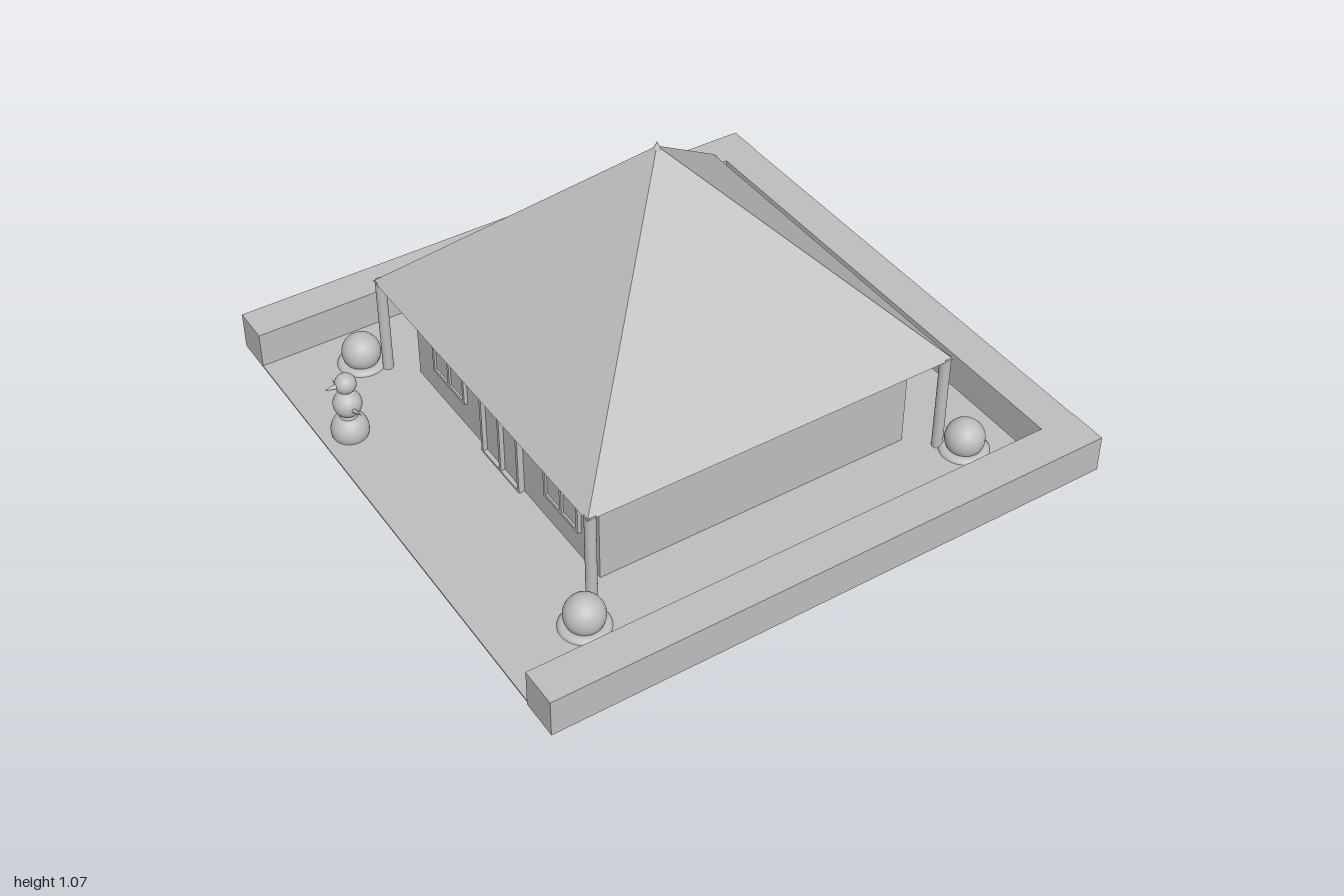
import * as THREE from 'three';

const grey = new THREE.MeshStandardMaterial({ color: 0xbebebe });
grey.name = 'plain grey';

export function createModel() {
  const model = new THREE.Group();
  model.name = 'gardenHouse';

  const add = (name, geometry, x, y, z, parent = model) => {
    const mesh = new THREE.Mesh(geometry, grey);
    mesh.name = name;
    mesh.position.set(x, y, z);
    parent.add(mesh);
    return mesh;
  };
  // Box given by its minimum and maximum along each axis
  const box = (name, x0, x1, y0, y1, z0, z1, parent = model) =>
    add(name, new THREE.BoxGeometry(x1 - x0, y1 - y0, z1 - z0),
      (x0 + x1) / 2, (y0 + y1) / 2, (z0 + z1) / 2, parent);
  const ball = (name, r, x, y, z, parent) =>
    add(name, new THREE.SphereGeometry(r, 32, 20), x, y, z, parent);

  const GROUND = 0.04;

  // Yard with a low wall on three sides
  box('ground', -0.985, 0.985, 0.034, GROUND, -0.998, 0.998);
  box('frontWall', -0.99, 0.99, 0.036, 0.167, 0.867, 1);
  box('backWall', -0.985, 0.99, 0.036, 0.167, -1, -0.867);
  box('sideWall', 0.86, 0.988, 0.036, 0.167, -0.867, 0.867);

  // House body
  box('houseBody', -0.563, 0.56, 0.035, 0.4, -0.56, 0.563);

  // Pyramid roof with a pointed finial
  const roofGeometry = new THREE.ConeGeometry(0.657 * Math.SQRT2, 0.656, 4, 1).toNonIndexed();
  roofGeometry.rotateY(Math.PI / 4);
  roofGeometry.computeVertexNormals();
  add('roof', roofGeometry, 0, 0.394 + 0.328, 0);
  add('finial', new THREE.ConeGeometry(0.02, 0.04, 24), 0, 1.045, 0);

  // Corner posts
  for (const sx of [-1, 1]) for (const sz of [-1, 1]) {
    add('post', new THREE.CylinderGeometry(0.018, 0.018, 0.372, 24), sx * 0.639, 0.212, sz * 0.641);
  }

  // Round bushes, each in a ring
  for (const [x, z] of [[-0.7, -0.71], [0.7, -0.63], [-0.7, 0.7], [0.7, 0.7]]) {
    const bush = new THREE.Group();
    bush.name = 'bush';
    bush.position.set(x, 0, z);
    model.add(bush);
    const ring = add('ring', new THREE.TorusGeometry(0.063, 0.02, 16, 40), 0, 0.035, 0, bush);
    ring.rotation.x = Math.PI / 2;
    ball('foliage', 0.065, 0, 0.086, 0, bush);
  }

  // Framed openings on the entrance side
  const framed = (name, z0, z1, y0, y1, depth) => {
    const group = new THREE.Group();
    group.name = name;
    model.add(group);
    const face = -0.563, out = face - depth, t = 0.012, mid = (z0 + z1) / 2;
    box('panel', face - 0.005, face, y0, y1, z0, z1, group);
    for (const z of [z0, mid - t / 2, z1 - t]) box('upright', out, face, y0, y1, z, z + t, group);
    for (const y of [y0, y1 - t]) box('rail', out, face, y, y + t, z0, z1, group);
    return group;
  };
  framed('window', -0.435, -0.23, 0.14, 0.27, 0.012);
  framed('window', 0.26, 0.46, 0.14, 0.27, 0.012);
  framed('door', -0.115, 0.12, 0.035, 0.298, 0.02);

  // Snowman facing out of the open side
  const snowman = new THREE.Group();
  snowman.name = 'snowman';
  snowman.position.set(-0.892, 0, -0.413);
  model.add(snowman);
  ball('base', 0.062, 0, 0.062, 0, snowman);
  ball('torso', 0.047, 0, 0.166, 0, snowman);
  ball('head', 0.035, 0, 0.246, 0, snowman);
  ball('neck', 0.03, 0, 0.117, 0, snowman).name = 'waist';
  const nose = add('nose', new THREE.ConeGeometry(0.01, 0.045, 20), -0.05, 0.248, 0, snowman);
  nose.rotation.z = Math.PI / 2;
  for (const s of [-1, 1]) {
    const arm = add('arm', new THREE.ConeGeometry(0.009, 0.08, 16), 0, 0.176, s * 0.07, snowman);
    arm.rotation.x = s * 1.2;
  }

  return model;
}
